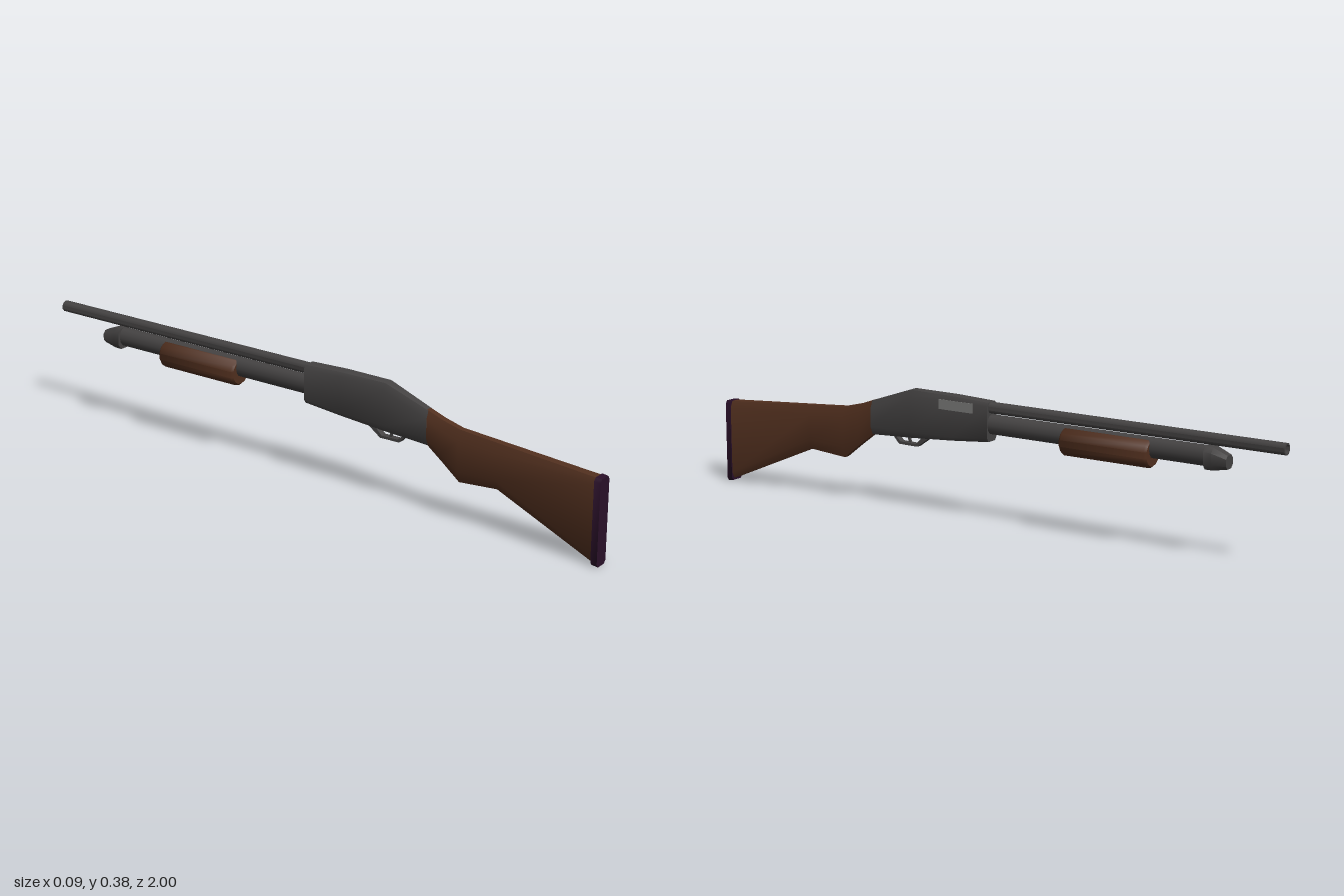
import * as THREE from 'three';
import { toCreasedNormals } from 'three/addons/utils/BufferGeometryUtils.js';

const mat = (name, color, side = THREE.FrontSide) => {
  const m = new THREE.MeshStandardMaterial({ color, side });
  m.name = name;
  return m;
};

// Loft of chamfered rectangles; each section is [z, xMin, xMax, yMin, yMax, chamferX, chamferY], from +z to -z
function loft(sections, crease = 0.7) {
  const pos = [], index = [], n = 8;
  for (const [z, x0, x1, y0, y1, cx, cy] of sections) {
    const ring = [
      [x1, y0 + cy], [x1, y1 - cy], [x1 - cx, y1], [x0 + cx, y1],
      [x0, y1 - cy], [x0, y0 + cy], [x0 + cx, y0], [x1 - cx, y0],
    ];
    for (const [x, y] of ring) pos.push(x, y, z);
  }
  const last = (sections.length - 1) * n;
  for (let s = 0; s < last; s += n) {
    for (let i = 0; i < n; i++) {
      const a = s + i, d = s + (i + 1) % n;
      index.push(a, a + n, d + n, a, d + n, d);
    }
  }
  for (let i = 1; i < n - 1; i++) {
    index.push(0, i, i + 1, last, last + i + 1, last + i);
  }
  const g = new THREE.BufferGeometry();
  g.setAttribute('position', new THREE.Float32BufferAttribute(pos, 3));
  g.setIndex(index);
  return toCreasedNormals(g.toNonIndexed(), crease);
}

// Turned part along z; the profile is [radius, z] running from +z to -z
function turned(profile, sides, scaleX = 1) {
  const g = new THREE.LatheGeometry(profile.map(([r, z]) => new THREE.Vector2(r, -z)), sides);
  g.rotateX(-Math.PI / 2).scale(scaleX, 1, 1);
  return toCreasedNormals(g.toNonIndexed(), 0.85);
}

export function createModel() {
  const root = new THREE.Group();
  const metal = mat('gunmetal', 0x454343);
  const wood = mat('walnut', 0x52301f);
  const rubber = mat('dark plum rubber', 0x2a1029);
  const steel = mat('bright steel', 0x7c7c7a);

  const add = (name, geometry, material, x = 0, y = 0, z = 0) => {
    const mesh = new THREE.Mesh(geometry, material);
    mesh.name = name;
    mesh.position.set(x, y, z);
    root.add(mesh);
    return mesh;
  };

  // Butt pad and shoulder stock
  add('buttPad', loft([
    [1.0, -0.026, 0.022, 0.0, 0.265, 0.007, 0.01],
    [0.98, -0.027, 0.024, 0.004, 0.267, 0.007, 0.01],
  ]), rubber);
  add('stock', loft([
    [0.98, -0.025, 0.021, 0.01, 0.265, 0.009, 0.02],
    [0.66, -0.025, 0.019, 0.148, 0.289, 0.011, 0.03],
    [0.53, -0.024, 0.017, 0.137, 0.299, 0.011, 0.035],
    [0.47, -0.023, 0.017, 0.185, 0.314, 0.01, 0.03],
    [0.415, -0.023, 0.016, 0.227, 0.334, 0.01, 0.025],
  ]), wood);

  // Receiver with a raised rear hump
  add('receiver', loft([
    [0.42, -0.024, 0.017, 0.225, 0.332, 0.01, 0.025],
    [0.27, -0.025, 0.022, 0.234, 0.384, 0.008, 0.02],
    [0.11, -0.025, 0.025, 0.246, 0.383, 0.007, 0.012],
    [-0.02, -0.025, 0.025, 0.258, 0.378, 0.007, 0.012],
  ]), metal);
  add('ejectionPort', new THREE.BoxGeometry(0.006, 0.03, 0.122), steel, 0.0235, 0.355, 0.094);

  // Trigger guard: thin loop with an open middle
  const guard = new THREE.Shape([
    [0.2, 0.247], [0.34, 0.235], [0.335, 0.226], [0.318, 0.208], [0.25, 0.207], [0.215, 0.232],
  ].map(([z, y]) => new THREE.Vector2(-z, y)));
  guard.holes.push(new THREE.Path([
    [0.235, 0.235], [0.255, 0.215], [0.313, 0.216], [0.328, 0.23],
  ].map(([z, y]) => new THREE.Vector2(-z, y))));
  const guardGeo = new THREE.ExtrudeGeometry(guard, { depth: 0.02, bevelEnabled: false });
  guardGeo.translate(0, 0, -0.01).rotateY(Math.PI / 2);
  add('triggerGuard', guardGeo, metal, -0.002);
  const trigger = add('trigger', new THREE.BoxGeometry(0.006, 0.03, 0.008), metal, -0.002, 0.226, 0.285);
  trigger.rotation.x = 0.3;

  // Barrel with a hollow muzzle
  add('barrel', turned([
    [0.018, 0.0], [0.018, -1.0], [0.013, -1.0], [0.012, -0.9], [0, -0.9],
  ], 10), metal, 0.002, 0.361, 0);

  // Magazine tube under the barrel and its tapered cap
  add('magazineTube', turned([[0.031, 0], [0.031, -0.76]], 12, 0.75), metal, 0, 0.31, 0);
  add('magazineCap', loft([
    [-0.75, -0.03, 0.024, 0.272, 0.34, 0.012, 0.015],
    [-0.775, -0.029, 0.023, 0.272, 0.338, 0.012, 0.015],
    [-0.82, -0.022, 0.018, 0.28, 0.32, 0.009, 0.01],
  ]), metal);

  // Sliding fore-end
  add('foreEnd', turned([
    [0, -0.28], [0.038, -0.28], [0.044, -0.287], [0.044, -0.568], [0.038, -0.575], [0, -0.575],
  ], 14), wood, 0, 0.293, 0);

  return root;
}
